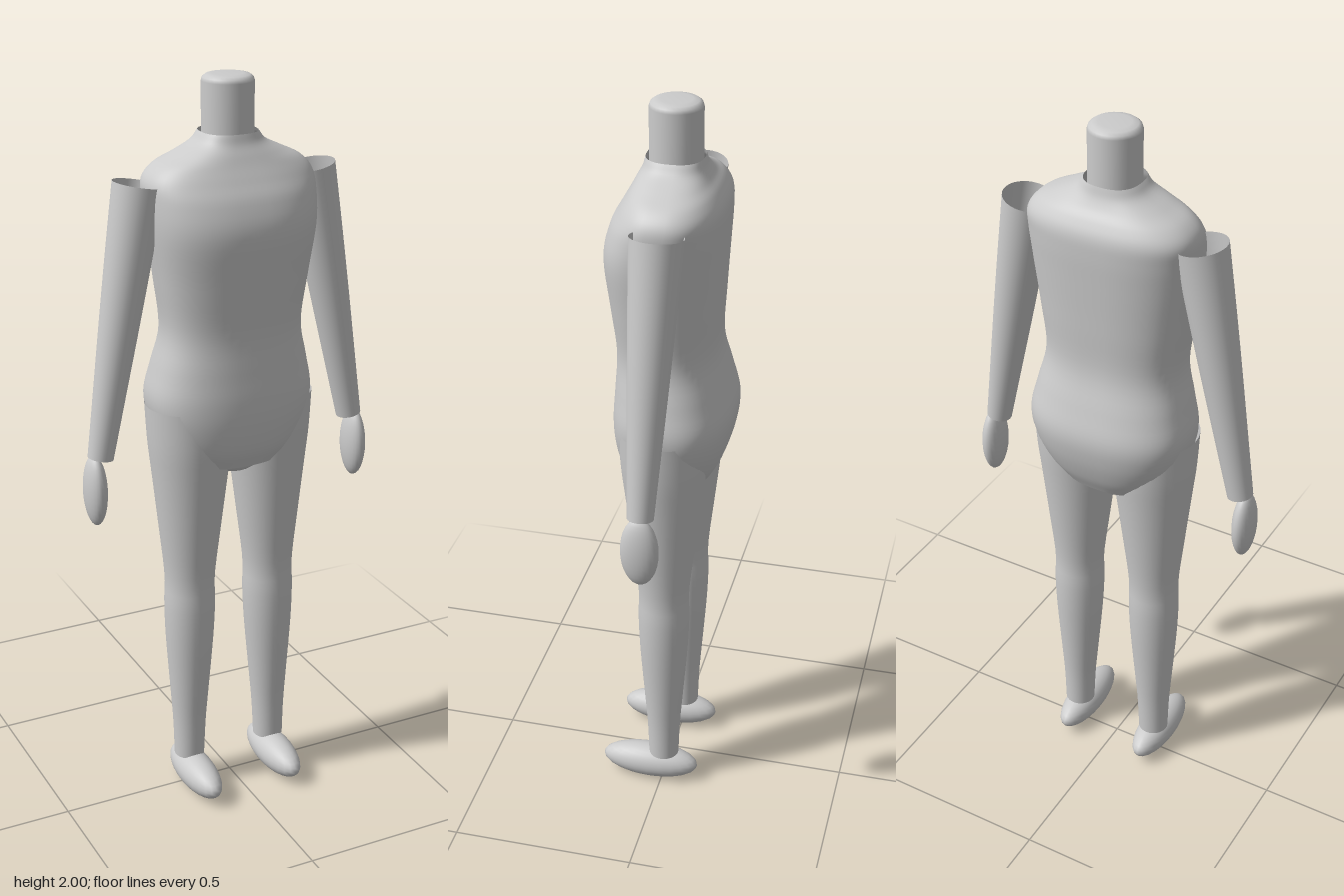
import * as THREE from 'three';

const material = new THREE.MeshStandardMaterial({ color: 0xcccccc, side: THREE.DoubleSide });

function add(parent, name, geometry) {
  const mesh = new THREE.Mesh(geometry, material);
  mesh.name = name;
  parent.add(mesh);
  return mesh;
}

function ellipsoid(parent, name, center, radii) {
  const mesh = add(parent, name, new THREE.SphereGeometry(1, 24, 16));
  mesh.position.set(...center);
  mesh.scale.set(...radii);
  return mesh;
}

// Open round tube from bottom to top; profile holds [fraction along axis, radius]
function limb(parent, name, bottom, top, profile) {
  const a = new THREE.Vector3(...bottom), axis = new THREE.Vector3(...top).sub(a);
  const length = axis.length();
  const curve = new THREE.SplineCurve(profile.map(([t, r]) => new THREE.Vector2(r, t * length)));
  const mesh = add(parent, name, new THREE.LatheGeometry(curve.getPoints(30), 32));
  mesh.position.copy(a);
  mesh.quaternion.setFromUnitVectors(new THREE.Vector3(0, 1, 0), axis.normalize());
  return mesh;
}

// Torso sections, bottom to top: y, half width, front z, back z
const SECTIONS = [
  [0.99, 0.135, 0.105, -0.115],
  [1.04, 0.18, 0.128, -0.14],
  [1.11, 0.213, 0.14, -0.162],
  [1.18, 0.224, 0.142, -0.169],
  [1.26, 0.208, 0.137, -0.15],
  [1.36, 0.188, 0.133, -0.126],
  [1.49, 0.203, 0.147, -0.13],
  [1.62, 0.222, 0.16, -0.137],
  [1.7, 0.228, 0.143, -0.141],
  [1.75, 0.225, 0.117, -0.139],
  [1.785, 0.196, 0.097, -0.122],
  [1.81, 0.145, 0.084, -0.102],
  [1.835, 0.095, 0.071, -0.088],
  [1.86, 0.073, 0.064, -0.081],
];

function torsoGeometry() {
  const spline = (k) => new THREE.CatmullRomCurve3(
    SECTIONS.map((s) => new THREE.Vector3(s[1], s[0], s[k])), false, 'catmullrom');
  const front = spline(2), back = spline(3);
  const sides = 56, steps = 65, power = 2 / 2.5;
  // The first two rows close the bottom with a sharp edge
  const rows = [[0, 0], [0, 1]];
  for (let i = 0; i <= steps; i++) rows.push([i / steps, 1]);
  const positions = [], index = [];
  const soften = (v) => Math.sign(v) * Math.abs(v) ** power;
  rows.forEach(([t, scale], r) => {
    const f = front.getPoint(t), b = back.getPoint(t);
    const mid = (f.z + b.z) / 2, depth = (f.z - b.z) / 2;
    for (let j = 0; j < sides; j++) {
      const angle = (j / sides) * Math.PI * 2;
      positions.push(scale * f.x * soften(Math.cos(angle)), f.y,
        mid + scale * depth * soften(Math.sin(angle)));
      if (r === rows.length - 1 || r === 1) continue;
      const a = r * sides + j, n = r * sides + (j + 1) % sides;
      index.push(a, a + sides, n, n, a + sides, n + sides);
    }
  });
  const geometry = new THREE.BufferGeometry();
  geometry.setAttribute('position', new THREE.Float32BufferAttribute(positions, 3));
  geometry.setIndex(index);
  geometry.computeVertexNormals();
  return geometry;
}

export function createModel() {
  const body = new THREE.Group();
  body.name = 'body';

  add(body, 'torso', torsoGeometry());
  ellipsoid(body, 'crotch', [0, 1.0, -0.005], [0.09, 0.052, 0.1]);

  // Neck stump with a rounded top rim
  const neckProfile = [[0.067, 1.8], [0.067, 1.982], [0.064, 1.991], [0.056, 1.997], [0.04, 2], [0, 2]]
    .map(([x, y]) => new THREE.Vector2(x, y));
  add(body, 'neck', new THREE.LatheGeometry(neckProfile, 32)).position.z = -0.009;

  for (const [side, s] of [['left', 1], ['right', -1]]) {
    limb(body, side + 'Arm', [s * 0.368, 1.04, -0.006], [s * 0.24, 1.745, -0.019],
      [[0, 0.034], [0.25, 0.043], [0.5, 0.052], [0.75, 0.06], [1, 0.067]]);
    ellipsoid(body, side + 'Hand', [s * 0.385, 0.952, -0.007], [0.029, 0.098, 0.05]);
    limb(body, side + 'Leg', [s * 0.125, 0.09, -0.004], [s * 0.113, 1.155, -0.004],
      [[0, 0.042], [0.1, 0.046], [0.2, 0.054], [0.35, 0.066], [0.45, 0.07], [0.53, 0.069],
        [0.67, 0.085], [0.81, 0.102], [0.9, 0.113], [1, 0.12]]);
    ellipsoid(body, side + 'Foot', [s * 0.124, 0.05, 0.036], [0.05, 0.05, 0.138]);
  }
  return body;
}
